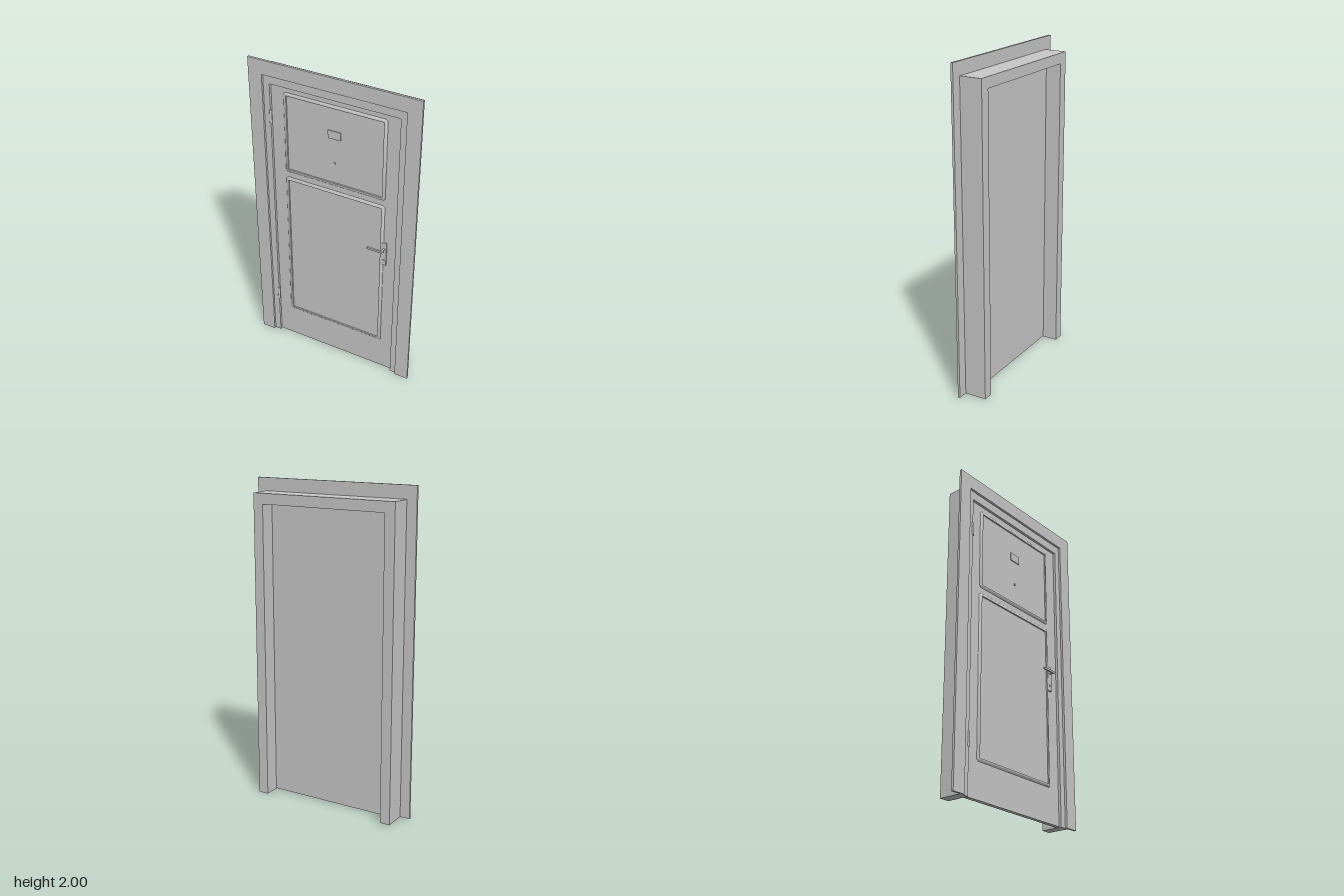
import * as THREE from 'three';
import { toCreasedNormals } from 'three/addons/utils/BufferGeometryUtils.js';

const grey = new THREE.MeshStandardMaterial({ color: 0xc8c8c8 });
grey.name = 'paintedGrey';

const DOOR_BACK = 0.01, DOOR_FRONT = 0.037;

function mesh(name, geometry, parent) {
  const m = new THREE.Mesh(geometry, grey);
  m.name = name;
  parent.add(m);
  return m;
}

// Box given by its limits on each axis
function box(name, x0, x1, y0, y1, z0, z1, parent) {
  const m = mesh(name, new THREE.BoxGeometry(x1 - x0, y1 - y0, z1 - z0), parent);
  m.position.set((x0 + x1) / 2, (y0 + y1) / 2, (z0 + z1) / 2);
  return m;
}

// Upside-down U, open at the floor, extruded along z
function portal(name, outerX, outerY, innerX, innerY, z0, z1, parent) {
  const shape = new THREE.Shape([
    [-outerX, 0], [-innerX, 0], [-innerX, innerY], [innerX, innerY],
    [innerX, 0], [outerX, 0], [outerX, outerY], [-outerX, outerY],
  ].map(([x, y]) => new THREE.Vector2(x, y)));
  const g = new THREE.ExtrudeGeometry(shape, { depth: z1 - z0, bevelEnabled: false });
  return mesh(name, g.translate(0, 0, z0), parent);
}

// Raised panel moulding: sharp inner step, rounded outer slope, clipped corners
function moulding(name, halfW, y0, y1, parent) {
  const profile = [[0, 0], [0.001, 0.008], [0.007, 0.009], [0.013, 0.006], [0.02, 0]];
  const rings = profile.map(([o, h]) => {
    const x = halfW + o, b = y0 - o, t = y1 + o, c = o * 0.6;
    return [[x, b + c], [x, t - c], [x - c, t], [-x + c, t],
      [-x, t - c], [-x, b + c], [-x + c, b], [x - c, b]].map(([px, py]) => [px, py, DOOR_FRONT + h]);
  });
  const positions = [];
  for (let k = 0; k < rings.length - 1; k++) {
    for (let i = 0; i < 8; i++) {
      const j = (i + 1) % 8;
      const a = rings[k][i], b = rings[k + 1][i], c = rings[k + 1][j], d = rings[k][j];
      positions.push(...a, ...b, ...c, ...a, ...c, ...d);
    }
  }
  const g = new THREE.BufferGeometry();
  g.setAttribute('position', new THREE.Float32BufferAttribute(positions, 3));
  return mesh(name, toCreasedNormals(g, 0.7), parent);
}

// Round part whose axis points out of the door
function stud(name, x, y, radius, z0, z1, parent) {
  const m = mesh(name, new THREE.CylinderGeometry(radius, radius, z1 - z0, 16), parent);
  m.rotation.x = Math.PI / 2;
  m.position.set(x, y, (z0 + z1) / 2);
  return m;
}

export function createModel() {
  const model = new THREE.Group();
  model.name = 'door';

  // Deep frame in the wall, and the wider flat casing on its front
  portal('frame', 0.475, 1.92, 0.41, 1.855, -0.086, 0.052, model);
  portal('casing', 0.538, 2, 0.45, 1.91, 0.052, 0.066, model);

  // Door leaf with two panels
  const leaf = new THREE.Group();
  leaf.name = 'leaf';
  model.add(leaf);
  box('leafBoard', -0.409, 0.409, 0.004, 1.854, DOOR_BACK, DOOR_FRONT, leaf);
  moulding('upperMoulding', 0.308, 1.312, 1.8, leaf);
  moulding('lowerMoulding', 0.308, 0.24, 1.235, leaf);

  // Small plate and peephole
  box('namePlate', -0.04, 0.04, 1.605, 1.656, DOOR_FRONT, DOOR_FRONT + 0.006, leaf);
  stud('peephole', 0, 1.445, 0.007, DOOR_FRONT, DOOR_FRONT + 0.006, leaf);

  // Hinges
  for (const y of [0.32, 1.645]) {
    const hinge = mesh('hinge', new THREE.CylinderGeometry(0.008, 0.008, 0.086, 16), model);
    hinge.position.set(-0.411, y, 0.05);
  }

  // Handle: plate, spindle, bent lever and lock
  const handle = new THREE.Group();
  handle.name = 'handle';
  leaf.add(handle);
  box('handlePlate', 0.314, 0.35, 0.838, 0.998, DOOR_FRONT, DOOR_FRONT + 0.01, handle);
  stud('handleSpindle', 0.334, 0.953, 0.006, DOOR_FRONT, 0.073, handle);
  const leverShape = new THREE.Shape([
    [0.238, -0.082], [0.336, -0.082], [0.341, -0.066], [0.328, -0.066], [0.326, -0.071], [0.238, -0.071],
  ].map(([x, y]) => new THREE.Vector2(x, y)));
  const lever = mesh('handleLever',
    new THREE.ExtrudeGeometry(leverShape, { depth: 0.012, bevelEnabled: false }), handle);
  lever.rotation.x = -Math.PI / 2;
  lever.position.y = 0.947;
  stud('lock', 0.334, 0.872, 0.007, DOOR_FRONT, DOOR_FRONT + 0.014, handle);

  return model;
}
